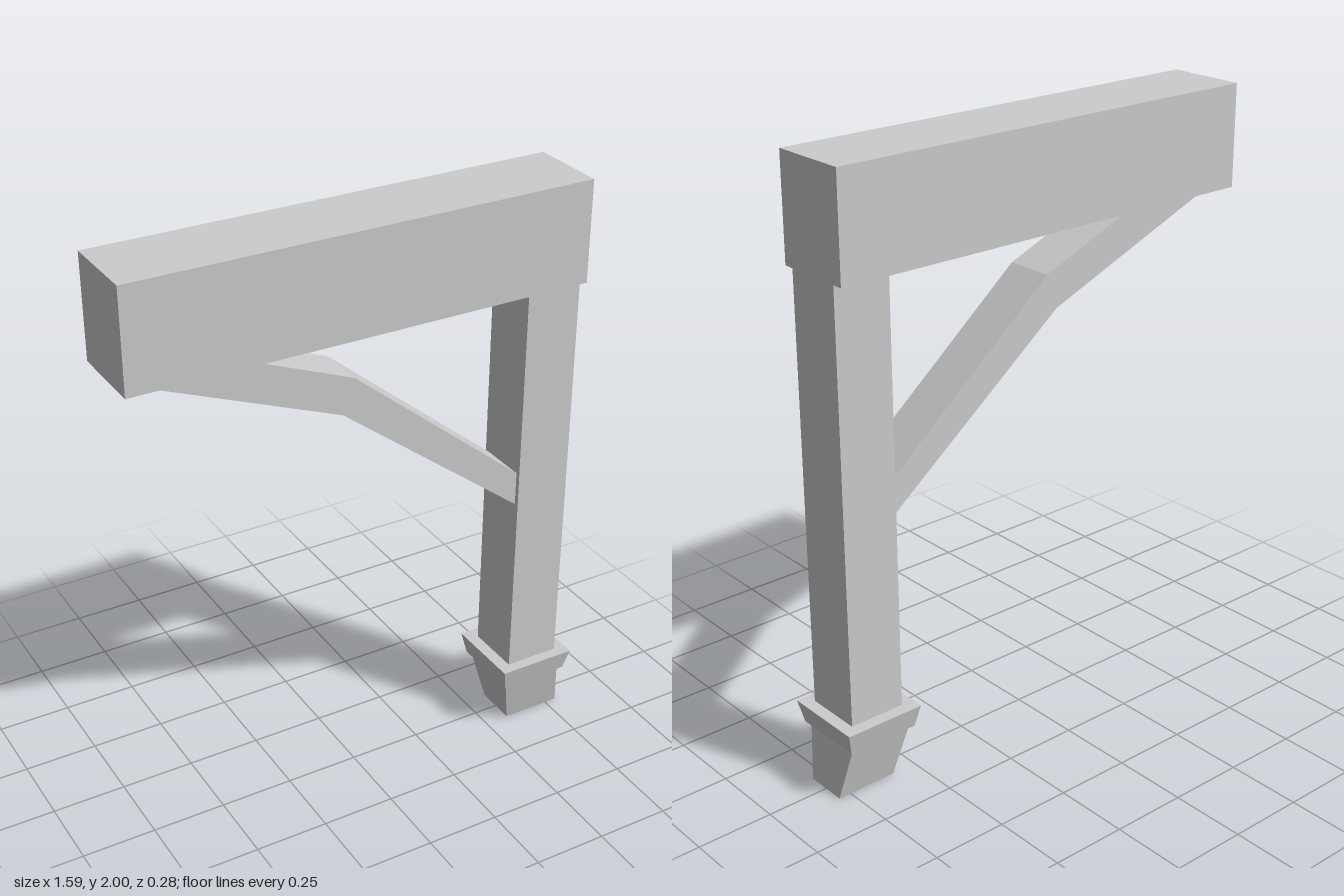
import * as THREE from 'three';

const material = new THREE.MeshStandardMaterial({ color: 0xcccccc, flatShading: true });

function addMesh(group, name, geometry) {
  const mesh = new THREE.Mesh(geometry, material);
  mesh.name = name;
  group.add(mesh);
  return mesh;
}

// Six-sided block between two level rectangles, each { y, x: [min, max], z: [min, max] }
function taperedBlock(bottom, top) {
  const geometry = new THREE.BoxGeometry(1, 1, 1);
  const p = geometry.attributes.position;
  for (let i = 0; i < p.count; i++) {
    const end = p.getY(i) > 0 ? top : bottom;
    p.setXYZ(i, end.x[p.getX(i) > 0 ? 1 : 0], end.y, end.z[p.getZ(i) > 0 ? 1 : 0]);
  }
  geometry.computeVertexNormals();
  return geometry;
}

// Straight block with the same rectangle at both ends
const block = (x, y, z) => taperedBlock({ x, y: y[0], z }, { x, y: y[1], z });

export function createModel() {
  const group = new THREE.Group();
  group.name = 'bracketPost';

  // Horizontal beam and upright post
  addMesh(group, 'beam', block([-0.794, 0.752], [1.663, 2], [-0.133, 0.133]));
  addMesh(group, 'post', block([0.561, 0.751], [0.22, 1.67], [-0.096, 0.1]));

  // Flared collar around the foot of the post
  addMesh(group, 'collar', taperedBlock(
    { y: 0.18, x: [0.534, 0.776], z: [-0.122, 0.122] },
    { y: 0.254, x: [0.519, 0.792], z: [-0.138, 0.138] }
  ));

  // Slanted foot, kicked out sideways
  addMesh(group, 'foot', taperedBlock(
    { y: 0, x: [0.585, 0.792], z: [-0.071, 0.071] },
    { y: 0.18, x: [0.545, 0.761], z: [-0.109, 0.11] }
  ));

  // Bent brace between beam and post
  const outline = new THREE.Shape([
    [-0.74, 1.664], [-0.085, 1.4], [0.562, 0.895],
    [0.562, 1.012], [-0.045, 1.515], [-0.41, 1.664]
  ].map(([x, y]) => new THREE.Vector2(x, y)));
  const brace = new THREE.ExtrudeGeometry(outline, { depth: 0.164, bevelEnabled: false });
  brace.translate(0, 0, -0.08);
  addMesh(group, 'brace', brace);

  return group;
}
